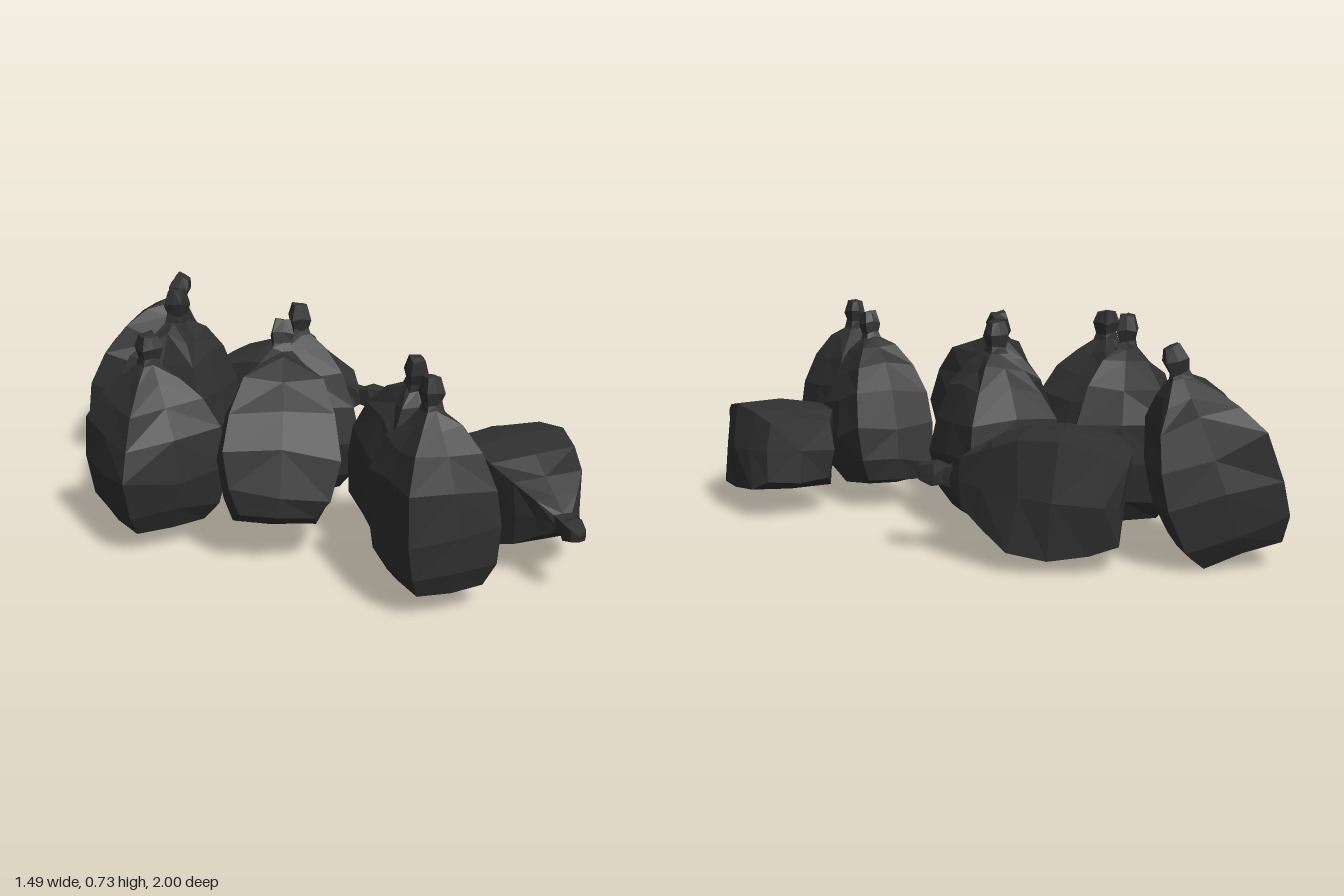
import * as THREE from 'three';

const material = new THREE.MeshStandardMaterial({ color: 0x303030, flatShading: true });

// Height fraction, width fraction, corner squareness, side fullness
const PROFILE = [
  [0.0, 0.74, 0.9, 1.0],
  [0.1, 0.92, 0.94, 1.0],
  [0.3, 1.0, 0.98, 1.03],
  [0.5, 0.93, 0.97, 1.0],
  [0.66, 0.71, 0.96, 0.94],
  [0.77, 0.44, 0.95, 0.88],
  [0.84, 0.19, 0.93, 0.92],
  [0.875, 0.16, 0.9, 0.95],
  [0.93, 0.21, 0.9, 0.97],
  [1.0, 0.14, 0.9, 0.97],
];
const SIDES = 8;

function seeded(seed) {
  let s = seed * 7919 + 17;
  return () => {
    s = (s * 16807) % 2147483647;
    return s / 2147483647 - 0.5;
  };
}

// Crumpled square sack with gathered neck and tied knot, standing along +y
function sackGeometry(width, depth, height, seed) {
  const rand = seeded(seed);
  for (let i = 0; i < 5; i++) rand();
  const pos = [];
  const index = [];
  const rings = PROFILE.length;
  for (const [t, w, corner, side] of PROFILE) {
    const body = t < 0.8 ? 1 : 0.4;
    for (let i = 0; i < SIDES; i++) {
      const a = (i / SIDES) * Math.PI * 2;
      const r = i % 2 ? corner * Math.SQRT2 : side;
      const k = (w * r * (1 + rand() * 0.08 * body)) / 2;
      const lift = rand() * 0.035 * body * (t > 0 ? 1 : 0.5);
      pos.push(Math.cos(a) * k * width, t * height + lift, Math.sin(a) * k * depth);
    }
  }
  for (let j = 0; j < rings - 1; j++) {
    for (let i = 0; i < SIDES; i++) {
      const n = (i + 1) % SIDES;
      const a = j * SIDES + i, b = j * SIDES + n;
      const c = a + SIDES, d = b + SIDES;
      // Diagonals run from the corners so the ridges stay crisp
      if (i % 2) index.push(a, c, d, a, d, b);
      else index.push(a, c, b, b, c, d);
    }
  }
  // Bottom and knot caps
  const bottom = rings * SIDES;
  const top = bottom + 1;
  const last = (rings - 1) * SIDES;
  pos.push(0, -0.003, 0, 0, height + 0.005, 0);
  for (let i = 0; i < SIDES; i++) {
    const n = (i + 1) % SIDES;
    index.push(bottom, i, n, top, last + n, last + i);
  }
  const geo = new THREE.BufferGeometry();
  geo.setAttribute('position', new THREE.Float32BufferAttribute(pos, 3));
  geo.setIndex(index);
  geo.computeVertexNormals();
  return geo;
}

// Places a sack from the centre of its base to the tip of its knot
function makeSack({ name, base, tip, twist, width, depth }, seed) {
  const from = new THREE.Vector3(...base);
  const axis = new THREE.Vector3(...tip).sub(from);
  const height = axis.length();
  const mesh = new THREE.Mesh(sackGeometry(width, depth, height, seed), material);
  const up = new THREE.Vector3(0, 1, 0);
  const spin = new THREE.Quaternion().setFromAxisAngle(up, THREE.MathUtils.degToRad(twist));
  mesh.quaternion.setFromUnitVectors(up, axis.normalize()).multiply(spin);
  mesh.position.copy(from);
  mesh.name = name;
  return mesh;
}

const SACKS = [
  { name: 'rearLeaningBag', base: [-0.43, 0.055, -0.8], tip: [-0.24, 0.685, -0.71], twist: -25, width: 0.38, depth: 0.36 },
  { name: 'rearLyingBag', base: [-0.1, 0.215, -0.675], tip: [0.415, 0.28, -0.285], twist: 53, width: 0.37, depth: 0.38 },
  { name: 'tallBag', base: [-0.36, 0.065, -0.295], tip: [-0.355, 0.735, -0.3], twist: -38, width: 0.35, depth: 0.39 },
  { name: 'middleBag', base: [0.03, 0.065, -0.085], tip: [0.025, 0.71, -0.075], twist: -4, width: 0.35, depth: 0.35 },
  { name: 'sideBag', base: [-0.53, 0.08, 0.105], tip: [-0.54, 0.7, 0.11], twist: 12, width: 0.37, depth: 0.36 },
  { name: 'backwardLeaningBag', base: [-0.2, 0.125, 0.38], tip: [-0.09, 0.71, 0.11], twist: -12, width: 0.37, depth: 0.38 },
  { name: 'forwardLeaningBag', base: [0.22, 0.085, 0.43], tip: [0.2, 0.69, 0.58], twist: 0, width: 0.31, depth: 0.33 },
  { name: 'frontBag', base: [0.17, 0.08, 0.83], tip: [0.15, 0.71, 0.82], twist: 3, width: 0.31, depth: 0.33 },
  { name: 'frontLyingBag', base: [0.57, 0.245, 0.35], tip: [0.575, 0.215, 0.97], twist: 4, width: 0.34, depth: 0.31 },
];

export function createModel() {
  const group = new THREE.Group();
  group.name = 'bagPile';
  SACKS.forEach((sack, i) => group.add(makeSack(sack, i + 1)));
  return group;
}
